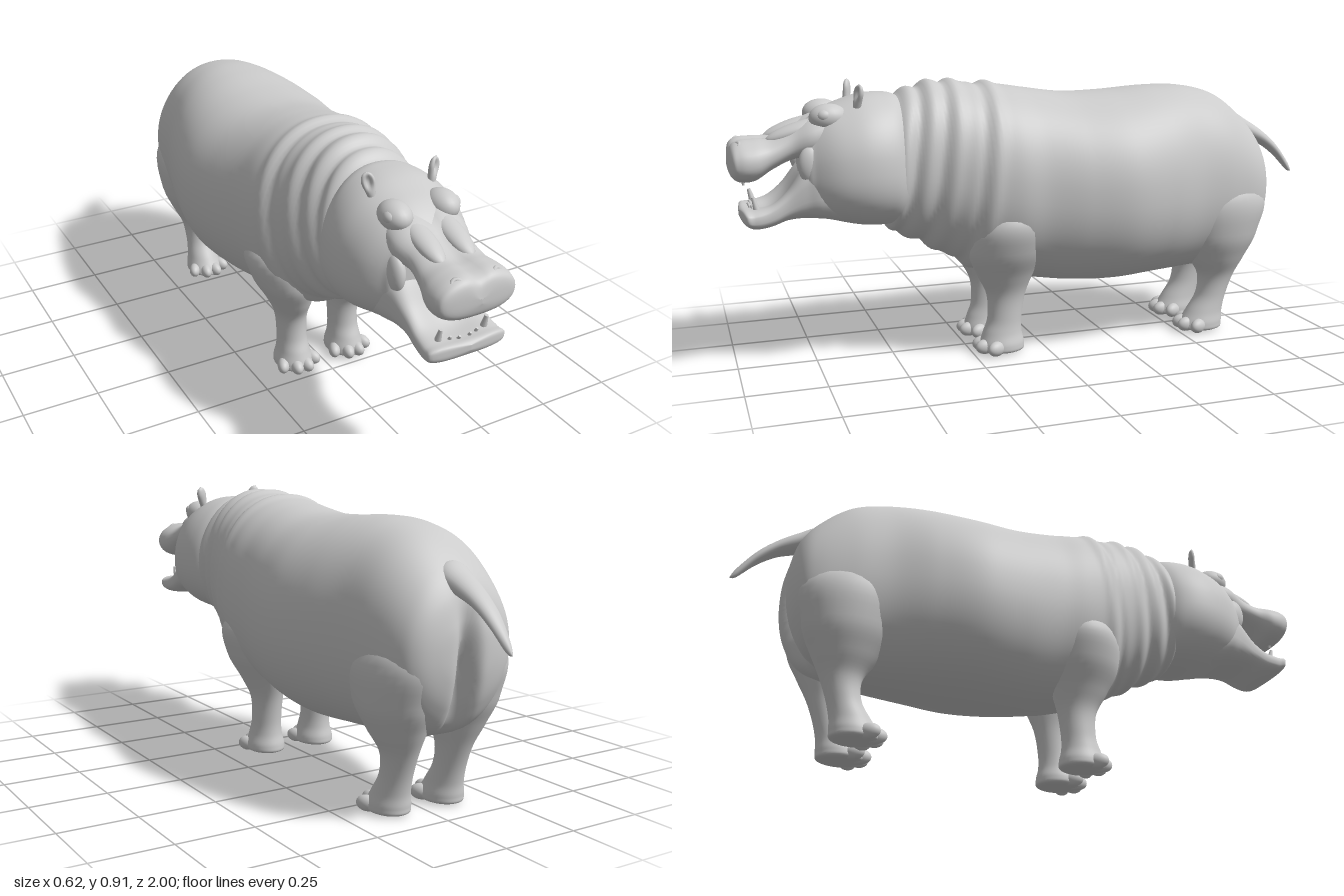
import * as THREE from 'three';

const material = new THREE.MeshStandardMaterial({ color: 0xcccccc, side: THREE.DoubleSide });

function add(parent, name, geometry) {
  const mesh = new THREE.Mesh(geometry, material);
  mesh.name = name;
  parent.add(mesh);
  return mesh;
}

const gauss = (d, w) => Math.exp(-((d / w) ** 2));

// Catmull-Rom through the rows, column by column
function smoothRows(rows, steps) {
  const out = [];
  for (let i = 0; i < rows.length - 1; i++) {
    const [a, b, c, d] = [-1, 0, 1, 2].map((k) => rows[Math.min(Math.max(i + k, 0), rows.length - 1)]);
    for (let s = 0; s < steps; s++) {
      const t = s / steps;
      out.push(b.map((p, k) => p + 0.5 * t * (c[k] - a[k] + t * (2 * a[k] - 5 * p + 4 * c[k] - d[k]
        + t * (3 * (p - c[k]) + d[k] - a[k])))));
    }
  }
  out.push(rows[rows.length - 1]);
  return out;
}

// Skin over superellipse rings; row = [x, y, z, half width, half depth], stacked along +z or +y
function loft(rows, { upright = false, power = 2, steps = 6, sides = 48, shape = null } = {}) {
  const rings = smoothRows(rows, steps), pos = [], index = [], v = new THREE.Vector3();
  const curve = (c) => Math.sign(c) * Math.abs(c) ** (2 / power);
  rings.forEach(([x, y, z, w, d], i) => {
    for (let j = 0; j < sides; j++) {
      const a = (j / sides) * Math.PI * 2;
      const u = Math.max(w, 0) * curve(Math.cos(a)), h = Math.max(d, 0) * curve(Math.sin(a));
      v.set(x + u, upright ? y : y + h, upright ? z - h : z);
      if (shape) shape(v, Math.cos(a), Math.sin(a));
      pos.push(v.x, v.y, v.z);
      if (i < rings.length - 1) {
        const k = (j + 1) % sides, p = i * sides, q = p + sides;
        index.push(p + j, p + k, q + k, p + j, q + k, q + j);
      }
    }
  });
  const g = new THREE.BufferGeometry();
  g.setAttribute('position', new THREE.Float32BufferAttribute(pos, 3));
  g.setIndex(index);
  g.computeVertexNormals();
  return g;
}

// [z, bottom, top, half width] -> loft row on the centre line
const span = ([z, lo, hi, w]) => [0, (lo + hi) / 2, z, w, (hi - lo) / 2];

function ball(parent, name, x, y, z, rx, ry, rz) {
  const m = add(parent, name, new THREE.SphereGeometry(1, 24, 16));
  m.position.set(x, y, z);
  m.scale.set(rx, ry, rz);
  return m;
}

function tooth(parent, name, x, y, z, r, h, lean) {
  const m = add(parent, name, new THREE.CylinderGeometry(r * 0.45, r, h, 10));
  m.position.set(x, y + h / 2, z);
  m.rotation.x = lean;
}

function addLeg(parent, name, side, rows, toeZ) {
  const leg = new THREE.Group();
  leg.name = name;
  parent.add(leg);
  add(leg, 'limb', loft(rows.map(([x, ...r]) => [x * side, ...r]), { upright: true, sides: 32 }));
  for (let i = 0; i < 4; i++) {
    const t = (i - 1.5) / 1.5;
    const toe = ball(leg, 'toe', side * 0.1 + t * 0.053, 0.027, toeZ - 0.032 * t * t, 0.021, 0.025, 0.035);
    toe.rotation.y = t * 0.5;
  }
}

export function createModel() {
  const hippo = new THREE.Group();

  // Barrel body and neck, with skin folds and a cleft between the buttocks
  add(hippo, 'body', loft([
    [-0.835, 0.5, 0.54, 0], [-0.825, 0.42, 0.6, 0.1], [-0.8, 0.34, 0.68, 0.165], [-0.75, 0.27, 0.75, 0.2],
    [-0.65, 0.23, 0.83, 0.228], [-0.53, 0.22, 0.862, 0.25], [-0.4, 0.213, 0.865, 0.288],
    [-0.25, 0.205, 0.855, 0.312], [-0.1, 0.212, 0.853, 0.292], [0.03, 0.23, 0.87, 0.266],
    [0.13, 0.25, 0.885, 0.26], [0.25, 0.29, 0.895, 0.232], [0.35, 0.35, 0.9, 0.2],
    [0.44, 0.4, 0.875, 0.178], [0.51, 0.44, 0.84, 0.16], [0.55, 0.6, 0.7, 0],
  ].map(span), {
    power: 2.15, steps: 10, sides: 72,
    shape: (v, c, s) => {
      if (v.z < -0.6) v.z += 0.07 * gauss(v.x, 0.03) * gauss(v.y - 0.42, 0.2) * Math.min(1, (-0.6 - v.z) / 0.15);
      const q = v.z + 0.04 * s;
      let fold = 0;
      for (const f of [0.21, 0.33, 0.41, 0.48]) fold += 0.01 * gauss(q - f, 0.022) - 0.007 * gauss(q - f - 0.035, 0.014);
      v.x += fold * c;
      v.y += fold * s;
    },
  }));

  // Head with broad cheeks and a narrower crown
  const head = new THREE.Group();
  head.name = 'head';
  hippo.add(head);
  add(head, 'skull', loft([
    [0.42, 0.6, 0.72, 0], [0.44, 0.5, 0.83, 0.14], [0.48, 0.455, 0.865, 0.185], [0.53, 0.45, 0.872, 0.205],
    [0.59, 0.453, 0.868, 0.21], [0.65, 0.465, 0.85, 0.2], [0.7, 0.48, 0.83, 0.18], [0.745, 0.5, 0.8, 0.148],
    [0.775, 0.54, 0.765, 0.115], [0.785, 0.63, 0.69, 0],
  ].map(span), { power: 2.25, sides: 64, shape: (v, c, s) => { v.x *= 1 - 0.12 * s; } }));

  // Upper muzzle, pinched behind the nose and flared at the lips
  add(head, 'upperMuzzle', loft([
    [0.6, 0.74, 0.8, 0], [0.64, 0.7, 0.835, 0.1], [0.74, 0.685, 0.81, 0.125], [0.81, 0.672, 0.775, 0.106],
    [0.87, 0.645, 0.75, 0.112], [0.92, 0.615, 0.748, 0.128], [0.965, 0.612, 0.745, 0.127],
    [0.99, 0.63, 0.728, 0.105], [1, 0.665, 0.69, 0],
  ].map(span), {
    power: 2.6,
    shape: (v, c, s) => {
      if (s > 0) { v.x *= 1 - 0.14 * s; v.y -= 0.014 * gauss(v.x, 0.025) * s; }
    },
  }));

  // Open lower jaw with a hollow between raised lips
  add(head, 'lowerJaw', loft([
    [0.6, 0.55, 0.6, 0], [0.63, 0.475, 0.67, 0.14], [0.72, 0.485, 0.69, 0.15], [0.775, 0.49, 0.665, 0.135],
    [0.83, 0.487, 0.6, 0.122], [0.88, 0.472, 0.558, 0.122], [0.93, 0.468, 0.54, 0.125],
    [0.96, 0.485, 0.535, 0.115], [0.972, 0.505, 0.525, 0],
  ].map(span), {
    power: 3,
    shape: (v, c, s) => {
      if (s > 0 && v.z > 0.75) v.y -= 0.035 * s * gauss(v.x, 0.085) * gauss(v.z - 0.84, 0.09);
    },
  }));

  for (const side of [-1, 1]) {
    // Brows, eyes, nostrils and the stretched mouth corners
    ball(head, 'brow', side * 0.078, 0.805, 0.695, 0.046, 0.043, 0.06);
    ball(head, 'eye', side * 0.104, 0.813, 0.71, 0.02, 0.02, 0.024);
    ball(head, 'noseRidge', side * 0.048, 0.765, 0.79, 0.036, 0.026, 0.1).rotation.x = 0.3;
    ball(head, 'mouthCorner', side * 0.112, 0.665, 0.757, 0.026, 0.06, 0.04);
    const nostril = add(head, 'nostril', new THREE.TorusGeometry(0.014, 0.006, 8, 20));
    nostril.position.set(side * 0.066, 0.726, 0.972);
    nostril.rotation.set(-0.7, side * 0.3, 0);

    // Cupped ears
    const ear = add(head, 'ear', loft([
      [0, 0, 0, 0.012, 0.012], [0, 0.02, 0, 0.016, 0.013], [0, 0.045, 0, 0.02, 0.013],
      [0, 0.065, 0, 0.014, 0.009], [0, 0.074, 0, 0, 0],
    ], {
      upright: true, sides: 20,
      shape: (v) => { if (v.z > 0) v.z -= 0.016 * gauss(v.x, 0.009) * gauss(v.y - 0.045, 0.02); },
    }));
    ear.position.set(side * 0.1, 0.835, 0.61);
    ear.rotation.set(0, side * 0.4, -side * 0.25);

    // Tusks and front teeth
    tooth(head, 'tusk', side * 0.076, 0.515, 0.925, 0.012, 0.056, 0.25);
    tooth(head, 'lowerTooth', side * 0.018, 0.51, 0.935, 0.008, 0.03, 0.5);
    tooth(head, 'lowerTooth', side * 0.044, 0.512, 0.93, 0.008, 0.03, 0.4);
    tooth(head, 'upperTooth', side * 0.034, 0.602, 0.955, 0.008, 0.025, Math.PI);

    // Legs: rows from sole to shoulder or hip
    addLeg(hippo, 'frontLeg', side, [
      [0.1, 0.006, 0.15, 0, 0], [0.1, 0.008, 0.15, 0.056, 0.068], [0.1, 0.03, 0.15, 0.064, 0.076],
      [0.1, 0.07, 0.148, 0.054, 0.066], [0.1, 0.12, 0.14, 0.049, 0.058], [0.101, 0.2, 0.135, 0.053, 0.066],
      [0.11, 0.27, 0.14, 0.074, 0.095], [0.128, 0.36, 0.14, 0.105, 0.13], [0.14, 0.47, 0.13, 0.11, 0.12],
      [0.14, 0.58, 0.1, 0, 0],
    ], 0.215);
    addLeg(hippo, 'hindLeg', side, [
      [0.1, 0.006, -0.59, 0, 0], [0.1, 0.008, -0.59, 0.056, 0.07], [0.1, 0.03, -0.592, 0.063, 0.077],
      [0.1, 0.07, -0.605, 0.054, 0.066], [0.1, 0.13, -0.63, 0.048, 0.055], [0.102, 0.2, -0.645, 0.055, 0.066],
      [0.11, 0.27, -0.64, 0.082, 0.105], [0.118, 0.36, -0.635, 0.108, 0.15], [0.12, 0.5, -0.63, 0.108, 0.17],
      [0.11, 0.64, -0.62, 0, 0],
    ], -0.526);
  }

  // Short flattened tail
  add(hippo, 'tail', loft([
    [0, 0.532, -1, 0, 0], [0, 0.553, -0.98, 0.012, 0.016], [0, 0.615, -0.925, 0.026, 0.022],
    [0, 0.662, -0.865, 0.035, 0.026], [0, 0.695, -0.8, 0.045, 0.034], [0, 0.72, -0.74, 0.05, 0.04],
    [0, 0.73, -0.7, 0, 0],
  ], { sides: 24 }));

  return hippo;
}
